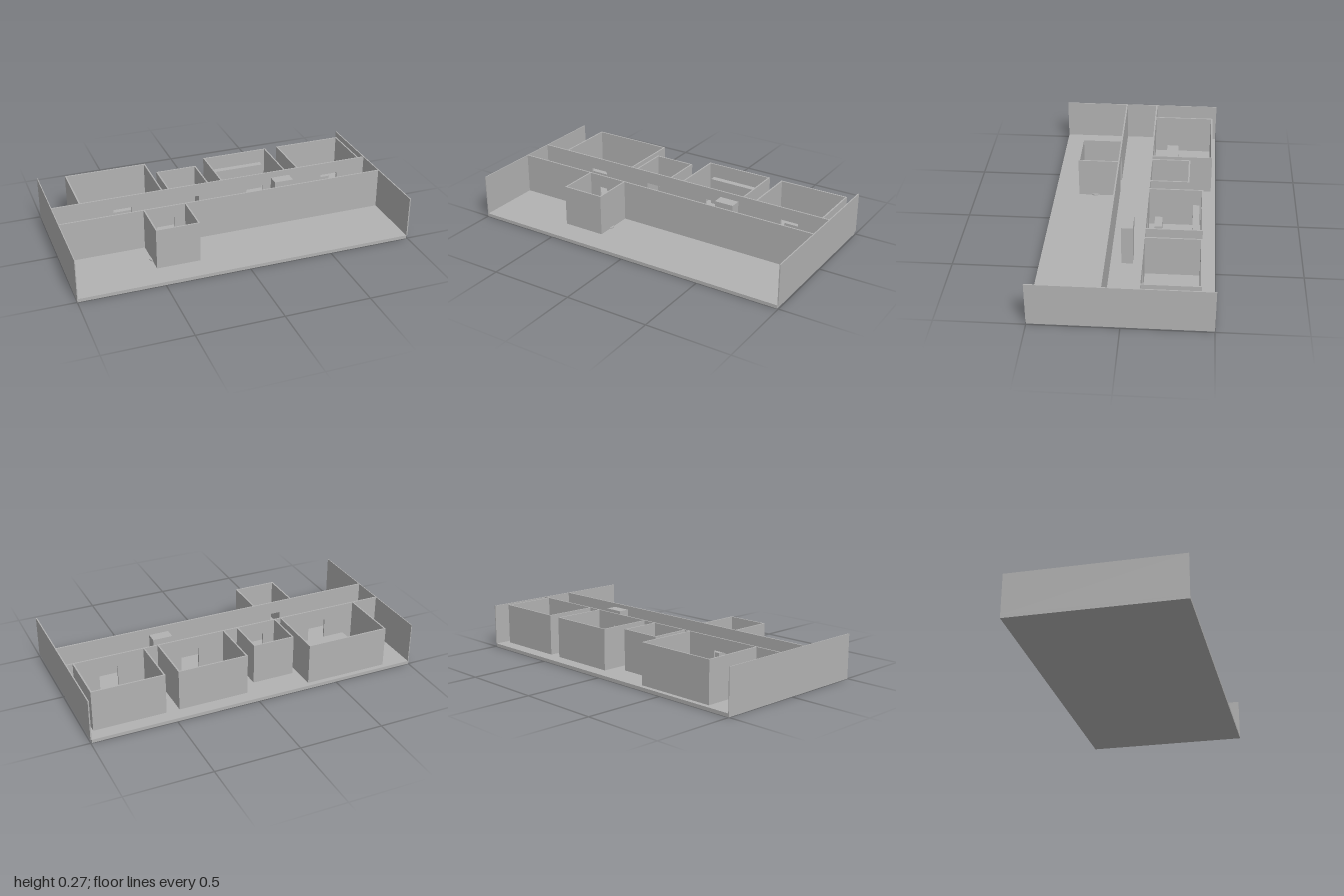
import * as THREE from 'three';

const FLOOR = 0.02, TOP = 0.265, DOOR_TOP = 0.188, T = 0.009;

export function createModel() {
  const model = new THREE.Group();
  const grey = new THREE.MeshStandardMaterial({ color: 0xb2b2b2 });
  grey.name = 'plain grey';

  const add = (parent, name, geometry) => {
    const mesh = new THREE.Mesh(geometry, grey);
    mesh.name = name;
    parent.add(mesh);
    return mesh;
  };
  // Box given by its limits on each axis
  const box = (parent, name, x0, x1, y0, y1, z0, z1) =>
    add(parent, name, new THREE.BoxGeometry(x1 - x0, y1 - y0, z1 - z0))
      .position.set((x0 + x1) / 2, (y0 + y1) / 2, (z0 + z1) / 2);

  // Floor slab and the two end walls
  box(model, 'floor', -1, 0.993, 0, FLOOR, -0.5, 0.5);
  box(model, 'rightEndWall', -1, -0.995, FLOOR, TOP, -0.5, 0.5);
  box(model, 'leftEndWall', 0.993, 1, FLOOR, TOP, -0.5, 0.5);

  // Long corridor walls, notched from below by the doorways
  const corridorWall = (name, z, doors) => {
    const s = new THREE.Shape();
    s.moveTo(-0.995, TOP);
    s.lineTo(-0.995, FLOOR);
    for (const x of doors) {
      s.lineTo(x - 0.055, FLOOR);
      s.lineTo(x - 0.055, DOOR_TOP);
      s.lineTo(x + 0.055, DOOR_TOP);
      s.lineTo(x + 0.055, FLOOR);
    }
    s.lineTo(0.993, FLOOR);
    s.lineTo(0.993, TOP);
    s.closePath();
    const geometry = new THREE.ExtrudeGeometry(s, { depth: T, bevelEnabled: false });
    add(model, name, geometry).position.z = z - T / 2;
  };
  corridorWall('backCorridorWall', -0.1, [-0.58, -0.16, 0.257, 0.755]);
  corridorWall('frontCorridorWall', 0.1, [-0.375]);

  // Rooms: three walls on the outer side of a corridor wall
  const room = (name, x0, x1, zOuter) => {
    const g = new THREE.Group();
    g.name = name;
    model.add(g);
    const s = Math.sign(zOuter);
    const inner = s * (0.1 + T / 2), face = zOuter - s * T;
    const zs = [inner, zOuter].sort((a, b) => a - b);
    const ends = [face, zOuter].sort((a, b) => a - b);
    box(g, 'sideWall', x0, x0 + T, FLOOR, TOP, ...zs);
    box(g, 'sideWall', x1 - T, x1, FLOOR, TOP, ...zs);
    box(g, 'outerWall', x0 + T, x1 - T, FLOOR, TOP, ...ends);
    return g;
  };
  const largeRoom = room('largeRoom', -0.835, -0.33, -0.472);
  const smallRoom = room('smallRoom', -0.297, -0.043, -0.338);
  const shelfRoom = room('shelfRoom', 0.037, 0.456, -0.422);
  const bedRoom = room('bedRoom', 0.533, 0.959, -0.422);
  const frontRoom = room('frontRoom', -0.506, -0.248, 0.349);

  // Furniture
  box(largeRoom, 'longTable', -0.72, -0.45, FLOOR, 0.12, -0.258, -0.184);
  box(largeRoom, 'desk', -0.668, -0.505, FLOOR, 0.1, -0.36, -0.28);
  box(smallRoom, 'desk', -0.243, -0.097, FLOOR, 0.1, -0.306, -0.252);
  box(smallRoom, 'stool', -0.263, -0.225, FLOOR, 0.07, -0.225, -0.185);
  box(shelfRoom, 'cabinet', 0.08, 0.412, FLOOR, 0.185, -0.401, -0.364);
  box(shelfRoom, 'lowTable', 0.06, 0.162, FLOOR, 0.08, -0.185, -0.14);
  box(bedRoom, 'bed', 0.645, 0.84, FLOOR, 0.08, -0.348, -0.26);
  box(frontRoom, 'counter', -0.467, -0.285, FLOOR, 0.11, 0.288, 0.337);
  box(frontRoom, 'sideTable', -0.335, -0.272, FLOOR, 0.09, 0.143, 0.18);
  box(model, 'corridorBlock', 0.337, 0.455, FLOOR, 0.262, -0.033, 0.033);

  // Small pillow on the bed
  const pillow = add(bedRoom, 'pillow', new THREE.CylinderGeometry(0.014, 0.014, 0.01, 12));
  pillow.scale.z = 0.5;
  pillow.position.set(0.805, 0.085, -0.328);

  // Flat round seats on the front room floor
  const seats = [[-0.495, 0.247], [-0.375, 0.187], [-0.375, 0.247], [-0.26, 0.247], [-0.435, 0.278], [-0.317, 0.278]];
  for (const [x, z] of seats) {
    add(frontRoom, 'roundSeat', new THREE.CylinderGeometry(0.025, 0.025, 0.007, 16))
      .position.set(x, FLOOR + 0.0035, z);
  }
  return model;
}
